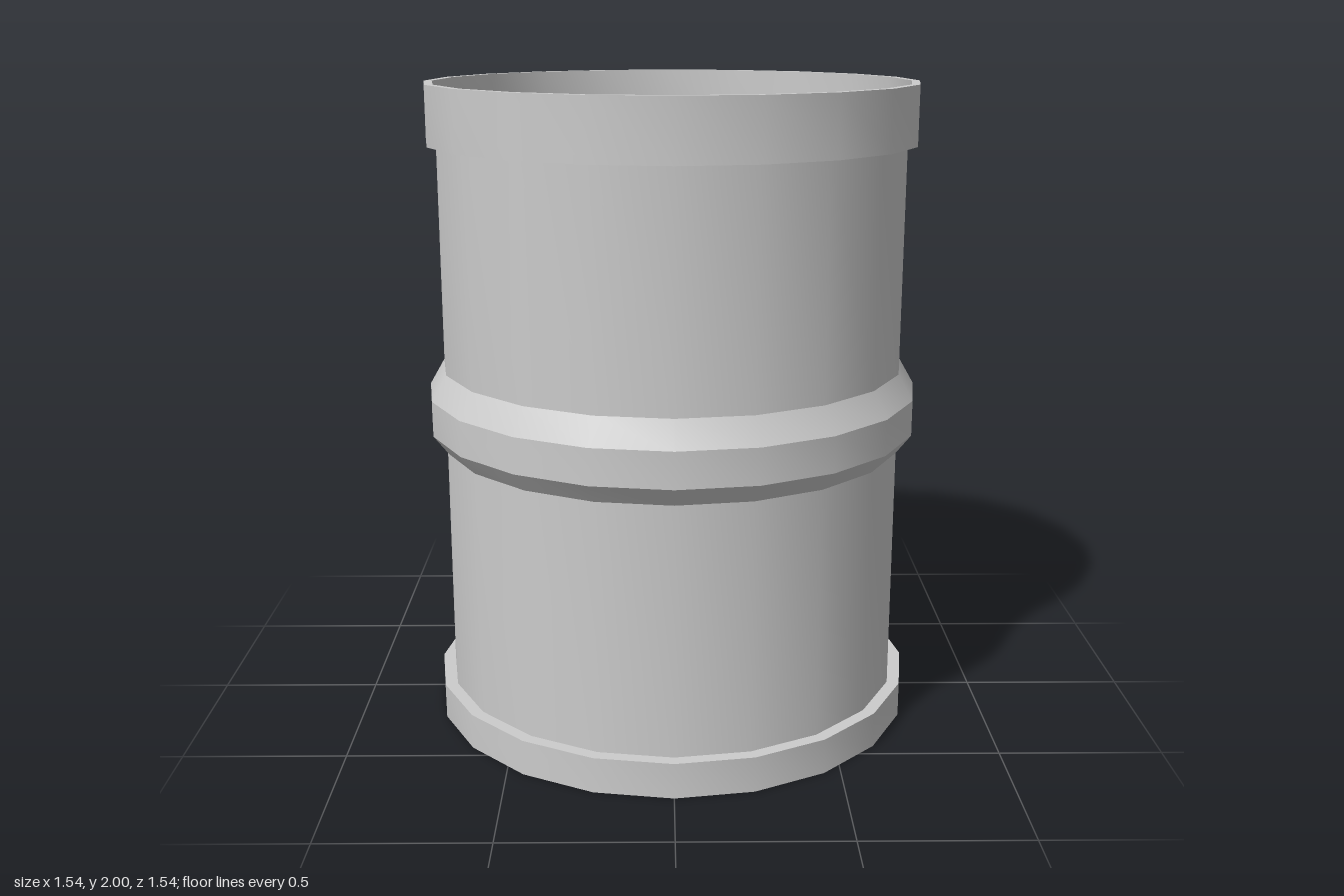
import * as THREE from 'three';
import { toCreasedNormals } from 'three/addons/utils/BufferGeometryUtils.js';

const SIDES = 20;
const material = new THREE.MeshStandardMaterial({ color: 0xcccccc, side: THREE.DoubleSide });

// Turned ring from [radius, height] points, smooth around and sharp at the profile corners
function ring(name, profile) {
  const points = profile.map(([r, y]) => new THREE.Vector2(r, y));
  const geometry = new THREE.LatheGeometry(points, SIDES);
  // The upper half leans very slightly forward
  const p = geometry.attributes.position;
  for (let i = 0; i < p.count; i++) {
    p.setZ(i, p.getZ(i) + 0.009 * Math.max(0, p.getY(i) - 1.13));
  }
  const mesh = new THREE.Mesh(toCreasedNormals(geometry, 0.4), material);
  mesh.name = name;
  return mesh;
}

export function createModel() {
  const group = new THREE.Group();
  group.name = 'barrel';

  // Thin wall with the raised band around the middle
  group.add(ring('wall', [
    [0.726, 0], [0.726, 0.88], [0.772, 0.94], [0.772, 1.05], [0.726, 1.13], [0.726, 1.82],
  ]));

  // Wider foot ring
  group.add(ring('footRing', [[0.765, 0], [0.765, 0.11], [0.726, 0.11]]));

  // Top rim with a small inner ledge
  group.add(ring('topRim', [
    [0.722, 1.82], [0.756, 1.82], [0.756, 2], [0.731, 2], [0.731, 1.822], [0.722, 1.822],
  ]));

  // Floor, closing the open barrel at the bottom
  const floor = new THREE.Mesh(new THREE.CircleGeometry(0.765, SIDES), material);
  floor.name = 'floor';
  floor.rotation.x = Math.PI / 2;
  group.add(floor);

  return group;
}
